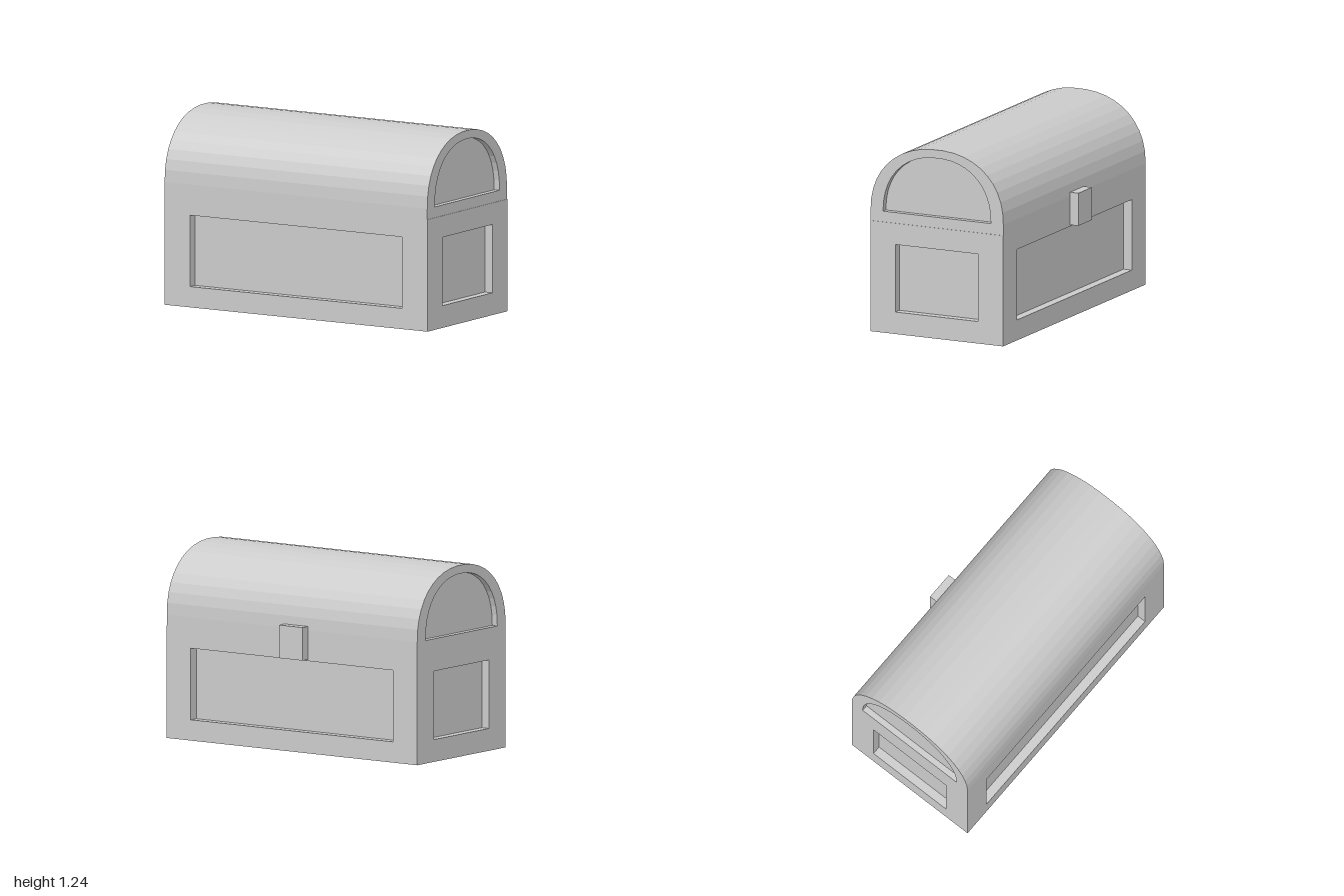
import * as THREE from 'three';
import { mergeGeometries } from 'three/addons/utils/BufferGeometryUtils.js';

const HALF = 0.48;      // half depth of the chest
const SEAM = 0.73;      // height where the lid meets the body
const LID_END = 0.997;  // the lid stops a hair short on one end
const V = (x, y) => new THREE.Vector2(x, y);
const material = new THREE.MeshStandardMaterial({ color: 0xcccccc, flatShading: true });

// Counter-clockwise outlines
const rect = (hw, y0, y1) => [V(-hw, y0), V(hw, y0), V(hw, y1), V(-hw, y1)];
function arch(hw, yBase, height, n = 21) {
  const pts = [];
  for (let i = 0; i <= n; i++) {
    const t = (Math.PI * i) / n;
    const c = Math.cos(t), s = Math.max(0, Math.sin(t));
    pts.push(V(Math.sign(c) * hw * Math.abs(c) ** 0.909, yBase + height * s ** 0.909));
  }
  return pts;
}

// Band of quads following the points from z0 to z1
function strip(pts, z0, z1, closed) {
  const pos = [];
  for (let i = 0; i < pts.length - (closed ? 0 : 1); i++) {
    const a = pts[i], b = pts[(i + 1) % pts.length];
    pos.push(a.x, a.y, z0, b.x, b.y, z0, b.x, b.y, z1);
    pos.push(a.x, a.y, z0, b.x, b.y, z1, a.x, a.y, z1);
  }
  const g = new THREE.BufferGeometry();
  g.setAttribute('position', new THREE.Float32BufferAttribute(pos, 3));
  g.computeVertexNormals();
  return g;
}

function flat(shape) {
  const g = new THREE.ShapeGeometry(shape).toNonIndexed();
  g.deleteAttribute('uv');
  return g;
}

// Wall with a sunken panel, facing +z
function recessedWall(outline, hole, depth) {
  const frame = new THREE.Shape(outline);
  frame.holes.push(new THREE.Path(hole));
  const floor = flat(new THREE.Shape(hole)).translate(0, 0, -depth);
  const sides = strip([...hole].reverse(), -depth, 0, true);
  return mergeGeometries([flat(frame), floor, sides]);
}

function add(group, name, geometry) {
  const mesh = new THREE.Mesh(geometry, material);
  mesh.name = name;
  group.add(mesh);
  return mesh;
}

export function createModel() {
  const model = new THREE.Group();
  model.name = 'chest';
  const shell = new THREE.Group();
  shell.name = 'shell';
  shell.position.z = 0.03;
  model.add(shell);

  // Body: long walls front and back, short walls at the ends
  const longWall = recessedWall(rect(1, 0, SEAM), rect(0.806, 0.135, 0.6), 0.06);
  const endWall = recessedWall(rect(HALF, 0, SEAM), rect(0.3, 0.145, 0.59), 0.057);
  add(shell, 'frontWall', longWall.clone().translate(0, 0, HALF));
  add(shell, 'backWall', longWall.clone().translate(0, 0, HALF).rotateY(Math.PI));
  add(shell, 'leftWall', endWall.clone().translate(0, 0, 1).rotateY(Math.PI / 2));
  add(shell, 'rightWall', endWall.clone().translate(0, 0, 1).rotateY(-Math.PI / 2));
  add(shell, 'bottom', new THREE.PlaneGeometry(2, 2 * HALF).rotateX(Math.PI / 2));
  add(shell, 'bodyRim', new THREE.PlaneGeometry(2, 2 * HALF).rotateX(-Math.PI / 2).translate(0, SEAM, 0));

  // Lid: faceted barrel with an arched panel sunk into each end
  const profile = [V(HALF, SEAM), ...arch(HALF, 0.8, 0.445), V(-HALF, SEAM)];
  const lidEnd = recessedWall(profile, arch(0.39, 0.8, 0.39), 0.04);
  add(shell, 'lidBarrel', strip(profile, -1, LID_END, false).rotateY(Math.PI / 2));
  add(shell, 'lidLeftEnd', lidEnd.clone().translate(0, 0, LID_END).rotateY(Math.PI / 2));
  add(shell, 'lidRightEnd', lidEnd.clone().translate(0, 0, 1).rotateY(-Math.PI / 2));

  // Clasp block
  add(model, 'clasp', new THREE.BoxGeometry(0.19, 0.215, 0.06)).position.set(-0.035, 0.7175, -0.48);
  return model;
}
